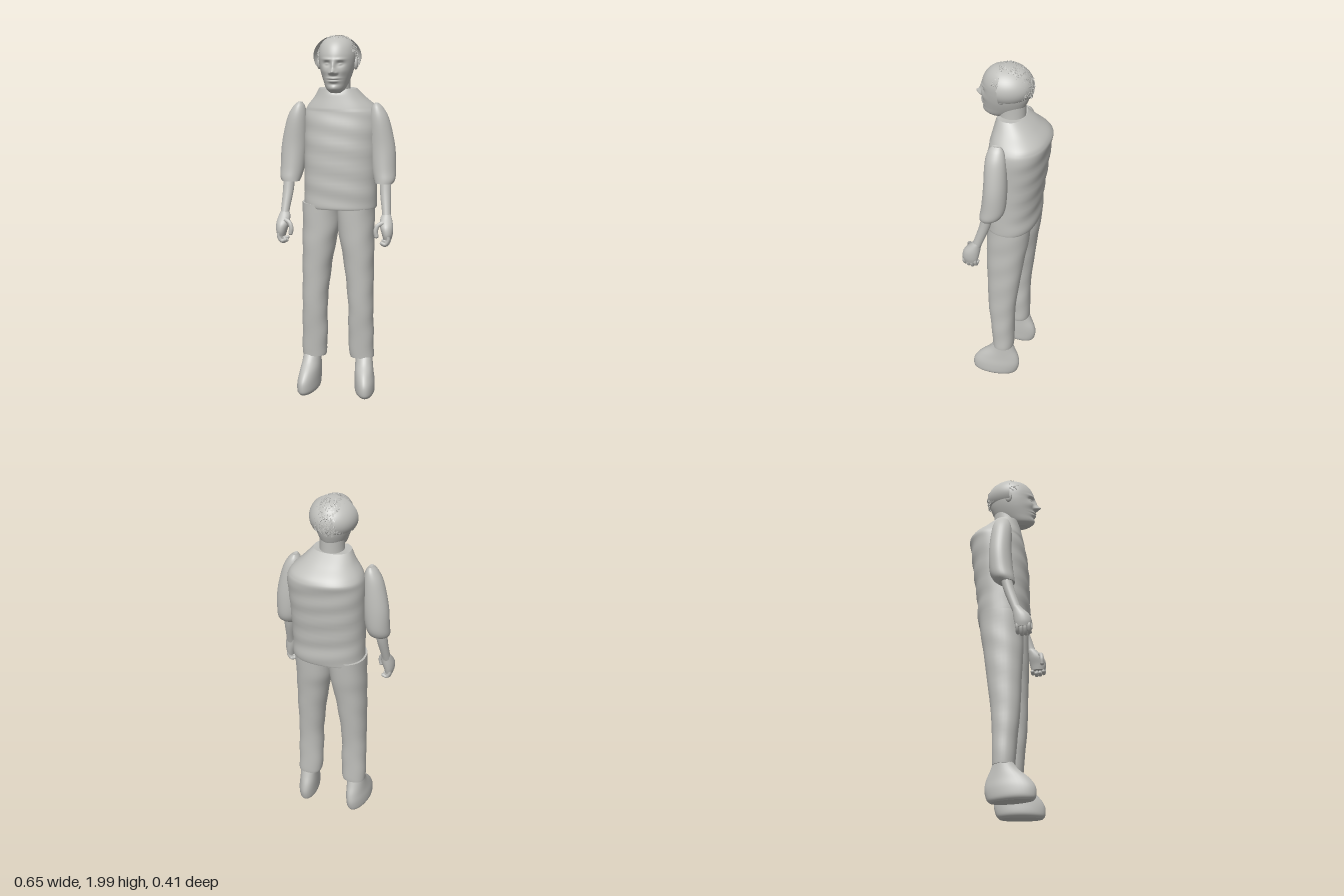
import * as THREE from 'three';
import { mergeGeometries } from 'three/addons/utils/BufferGeometryUtils.js';

const grey = new THREE.MeshStandardMaterial({ color: 0xc0c0bc, side: THREE.DoubleSide });
grey.name = 'plain grey';

const catmull = (a, b, c, d, t) =>
  0.5 * (2 * b + (c - a) * t + (2 * a - 5 * b + 4 * c - d) * t * t + (3 * b - a - 3 * c + d) * t ** 3);

// Smooth closed loft. Rows rise in y: [y, xMin, xMax, zMin, zMax]; side mirrors x.
function loft(rows, { side = 1, segs = 32, steps = 5, power = 2, rule } = {}) {
  const pos = [], idx = [], rings = [];
  for (let i = 0; i < rows.length - 1; i++) {
    for (let k = 0; k < steps + (i === rows.length - 2 ? 1 : 0); k++) {
      const at = (n) => rows[Math.max(0, Math.min(rows.length - 1, n))];
      rings.push(rows[i].map((_, c) => catmull(at(i - 1)[c], at(i)[c], at(i + 1)[c], at(i + 2)[c], k / steps)));
    }
  }
  const v = new THREE.Vector3();
  const addRing = ([y, x0, x1, z0, z1]) => {
    for (let j = 0; j < segs; j++) {
      const a = (j / segs) * Math.PI * 2, c = Math.cos(a), s = Math.sin(a);
      v.set(
        side * (x0 + x1) / 2 + (x1 - x0) / 2 * Math.sign(c) * Math.abs(c) ** (2 / power), y,
        (z0 + z1) / 2 + (z1 - z0) / 2 * Math.sign(s) * Math.abs(s) ** (2 / power));
      if (rule) rule(v);
      pos.push(v.x, v.y, v.z);
    }
  };
  rings.forEach(addRing);
  for (let i = 0; i < rings.length - 1; i++) {
    for (let j = 0; j < segs; j++) {
      const a = i * segs + j, b = i * segs + (j + 1) % segs;
      idx.push(a, a + segs, b, b, a + segs, b + segs);
    }
  }
  // Separate end caps keep the rims crisp
  [rings[0], rings[rings.length - 1]].forEach((ring, top) => {
    const start = pos.length / 3;
    addRing(ring);
    pos.push(side * (ring[1] + ring[2]) / 2, ring[0] - (top ? 0.005 : 0), (ring[3] + ring[4]) / 2);
    for (let j = 0; j < segs; j++) {
      const a = start + j, b = start + (j + 1) % segs;
      idx.push(start + segs, top ? b : a, top ? a : b);
    }
  });
  const g = new THREE.BufferGeometry();
  g.setAttribute('position', new THREE.Float32BufferAttribute(pos, 3));
  g.setIndex(idx);
  g.computeVertexNormals();
  return g;
}

export function createModel() {
  const model = new THREE.Group();
  const add = (name, geometry, parent = model) => {
    const m = new THREE.Mesh(geometry, grey);
    m.name = name;
    parent.add(m);
    return m;
  };

  // Loose shirt with a small V at the collar and faint folds
  add('shirt', loft([
    [1.055, -0.19, 0.21, -0.15, 0.125], [1.08, -0.19, 0.212, -0.155, 0.13], [1.2, -0.19, 0.212, -0.16, 0.13],
    [1.4, -0.193, 0.218, -0.185, 0.125], [1.54, -0.195, 0.224, -0.2, 0.11], [1.6, -0.182, 0.205, -0.2, 0.1],
    [1.66, -0.135, 0.145, -0.135, 0.088], [1.71, -0.105, 0.1, -0.07, 0.078],
  ], {
    segs: 56, steps: 7, power: 2.3,
    rule: (v) => {
      if (v.y > 1.68 && v.z > 0.03) v.y -= 0.9 * (v.y - 1.68) * Math.max(0, 1 - Math.abs(v.x) / 0.06);
      else if (v.y < 1.6) v.z += 0.0025 * Math.sin(v.y * 55 + v.x * 9);
    },
  }));

  // Limbs, mirrored
  for (const side of [1, -1]) {
    const tag = side > 0 ? 'left' : 'right';
    const arm = new THREE.Group();
    arm.name = tag + 'Arm';
    const leg = new THREE.Group();
    leg.name = tag + 'Leg';
    model.add(arm, leg);

    add('sleeve', loft([
      [1.632, 0.2, 0.222, -0.01, 0.035], [1.605, 0.183, 0.25, -0.03, 0.055], [1.54, 0.173, 0.283, -0.045, 0.068],
      [1.4, 0.175, 0.314, -0.055, 0.07], [1.28, 0.187, 0.32, -0.05, 0.08], [1.225, 0.2, 0.32, -0.03, 0.088],
      [1.2, 0.21, 0.308, 0.0, 0.09],
    ].reverse(), { side }), arm);
    add('forearm', loft([
      [1.0, 0.255, 0.31, 0.085, 0.14], [1.04, 0.257, 0.305, 0.07, 0.123],
      [1.15, 0.24, 0.3, 0.03, 0.09], [1.24, 0.235, 0.3, 0.01, 0.07],
    ], { side, segs: 20 }), arm);
    add('palm', loft([
      [0.91, 0.27, 0.315, 0.1, 0.175], [0.94, 0.262, 0.322, 0.092, 0.183], [0.98, 0.25, 0.322, 0.085, 0.175],
      [1.02, 0.25, 0.312, 0.08, 0.14], [1.04, 0.26, 0.304, 0.075, 0.122],
    ], { side, segs: 24 }), arm);
    // Curled fingers in a row, then the thumb
    const digit = (name, r, points) => {
      const path = new THREE.CatmullRomCurve3(points.map(([x, y, z]) => new THREE.Vector3(side * x, y, z)));
      const tip = new THREE.SphereGeometry(r, 10, 8).translate(...path.getPoint(1).toArray());
      add(name, mergeGeometries([new THREE.TubeGeometry(path, 10, r, 10), tip]), arm);
    };
    for (let i = 0; i < 4; i++) {
      const z = 0.108 + i * 0.021, drop = [0.012, 0, 0.002, 0.01][i];
      digit('finger', 0.0105, [[0.3, 0.93, z], [0.301, 0.9 + drop, z], [0.285, 0.876 + drop, z], [0.266, 0.882 + drop, z]]);
    }
    digit('thumb', 0.0125, [[0.27, 1.0, 0.15], [0.242, 0.985, 0.162], [0.232, 0.955, 0.168], [0.236, 0.93, 0.168]]);

    add('trouserLeg', loft([
      [0.2, 0.07, 0.202, -0.05, 0.068], [0.23, 0.065, 0.203, -0.052, 0.07], [0.35, 0.06, 0.202, -0.053, 0.08],
      [0.5, 0.06, 0.2, -0.06, 0.095], [0.7, 0.04, 0.2, -0.085, 0.103], [0.85, 0.015, 0.2, -0.105, 0.11],
      [0.95, -0.003, 0.2, -0.122, 0.11], [1.08, -0.005, 0.2, -0.135, 0.11],
    ], { side, power: 2.2, rule: (v) => { v.x += 0.0015 * Math.sin(v.y * 40 + v.z * 20); } }), leg);
    // Rounded shoe, toe turned slightly outward
    add('shoe', loft([
      [0, 0.115, 0.2, -0.06, 0.168], [0.02, 0.1, 0.212, -0.078, 0.182], [0.07, 0.098, 0.212, -0.09, 0.18],
      [0.12, 0.098, 0.205, -0.083, 0.148], [0.17, 0.1, 0.2, -0.062, 0.092], [0.215, 0.1, 0.197, -0.045, 0.06],
    ], { side, rule: (v) => { v.x += side * 0.11 * (v.z - 0.02); } }), leg);
  }

  // Head
  const head = new THREE.Group();
  head.name = 'head';
  model.add(head);
  add('neck', loft([
    [1.64, -0.08, 0.08, -0.07, 0.075], [1.7, -0.066, 0.066, -0.068, 0.078], [1.8, -0.066, 0.066, -0.07, 0.08],
  ], {}), head);
  // Facial relief: [x, y, width, height, depth]
  const relief = [
    [0, 1.808, 0.016, 0.015, 0.034], [0, 1.838, 0.011, 0.026, 0.016],
    [0, 1.772, 0.028, 0.006, 0.012], [0, 1.758, 0.024, 0.007, 0.011], [0, 1.7655, 0.028, 0.003, -0.008],
    [0, 1.72, 0.022, 0.015, 0.006], [0, 1.74, 0.03, 0.008, -0.004],
  ];
  for (const s of [1, -1]) {
    relief.push([s * 0.036, 1.848, 0.02, 0.012, -0.014], [s * 0.036, 1.847, 0.011, 0.006, 0.009],
      [s * 0.036, 1.872, 0.026, 0.008, 0.006], [s * 0.05, 1.81, 0.022, 0.02, 0.006], [s * 0.017, 1.802, 0.008, 0.008, 0.012]);
  }
  add('face', loft([
    [1.692, -0.028, 0.028, 0.05, 0.13], [1.712, -0.05, 0.05, 0.0, 0.158], [1.75, -0.068, 0.068, -0.055, 0.165],
    [1.8, -0.086, 0.086, -0.082, 0.166], [1.85, -0.097, 0.097, -0.095, 0.167], [1.9, -0.1, 0.1, -0.1, 0.162],
    [1.945, -0.088, 0.088, -0.085, 0.14], [1.975, -0.06, 0.06, -0.05, 0.105], [1.988, -0.02, 0.02, 0.0, 0.055],
  ], {
    segs: 112, steps: 14,
    rule: (v) => {
      if (v.z < 0.07) return;
      const { x, y } = v;
      for (const [cx, cy, w, h, d] of relief) v.z += d * Math.exp(-(((x - cx) / w) ** 2) - ((y - cy) / h) ** 2);
    },
  }), head);
  for (const s of [1, -1]) {
    add('ear', new THREE.SphereGeometry(1, 14, 10).scale(0.013, 0.034, 0.02).translate(s * 0.1, 1.845, 0.03), head);
  }

  // Back half-shell of hair, ending in a straight edge over the ears
  add('hairShell', new THREE.SphereGeometry(1, 40, 20, Math.PI, Math.PI, 0, Math.PI * 0.66)
    .scale(0.13, 0.11, 0.148).translate(0, 1.882, 0.04), head);
  // Short overlapping tufts across crown, fringe and back
  let seed = 7;
  const rand = () => (seed = (seed * 16807) % 2147483647) / 2147483647;
  const tufts = [], dummy = new THREE.Object3D();
  while (tufts.length < 420) {
    const a = rand() * Math.PI * 2, h = rand() * 1.35 - 0.4, r = Math.sqrt(1 - Math.min(1, h * h));
    const n = new THREE.Vector3(Math.cos(a) * r, h, Math.sin(a) * r);
    if (h > 0.95 || h < 0.45 * n.z + 0.08) continue;
    dummy.position.set(n.x * 0.107, 1.872 + n.y * 0.12, 0.022 + n.z * 0.13);
    dummy.lookAt(dummy.position.clone().add(n));
    dummy.rotateZ((rand() - 0.5) * 1.6);
    dummy.rotateX((rand() - 0.5) * 0.4);
    dummy.updateMatrix();
    tufts.push(new THREE.BoxGeometry(0.005, 0.022 + rand() * 0.022, 0.004).applyMatrix4(dummy.matrix));
  }
  add('hairTufts', mergeGeometries(tufts), head);

  return model;
}
